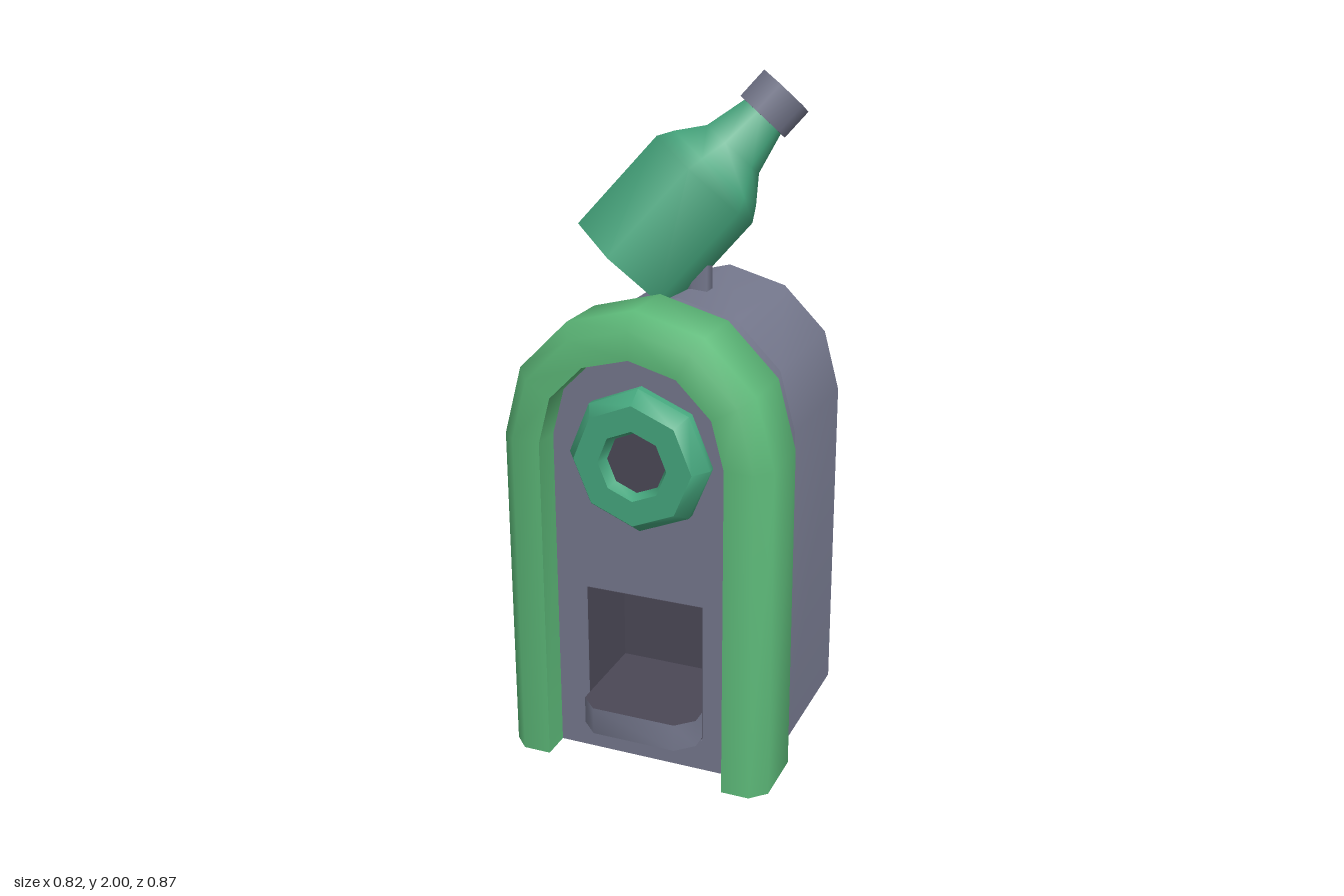
import * as THREE from 'three';
import { toCreasedNormals } from 'three/addons/utils/BufferGeometryUtils.js';

const ARCH_Y = 1.01; // centre height of the rounded top

function makeMaterial(name, color, side = THREE.FrontSide) {
  const m = new THREE.MeshStandardMaterial({ color, side });
  m.name = name;
  return m;
}

function polygon(points) {
  return new THREE.Shape(points.map(([x, y]) => new THREE.Vector2(x, y)));
}

function extrude(shape, depth, z = 0) {
  const g = new THREE.ExtrudeGeometry(shape, { depth, bevelEnabled: false });
  g.translate(0, 0, z);
  return toCreasedNormals(g, 1);
}

// Outline with straight sides and a six-segment round top
function archPoints(r) {
  const pts = [[r, 0]];
  for (let i = 0; i <= 6; i++) {
    const a = (i * Math.PI) / 6;
    pts.push([r * Math.cos(a), ARCH_Y + r * Math.sin(a)]);
  }
  pts.push([-r, 0]);
  return pts;
}

// Open strip swept over the arch; section is a list of [radius, z]
function archStrip(section) {
  const rings = section.map(([r]) => archPoints(r));
  const pos = [], index = [], n = rings[0].length;
  section.forEach(([, z], j) => rings[j].forEach(([x, y]) => pos.push(x, y, z)));
  for (let j = 0; j < section.length - 1; j++) {
    for (let i = 0; i < n - 1; i++) {
      const a = j * n + i, b = a + 1, c = a + n, d = c + 1;
      index.push(a, b, c, b, d, c);
    }
  }
  const g = new THREE.BufferGeometry();
  g.setAttribute('position', new THREE.Float32BufferAttribute(pos, 3));
  g.setIndex(index);
  return toCreasedNormals(g, 1.05);
}

function lathe(profile, sides) {
  return new THREE.LatheGeometry(profile.map(([r, y]) => new THREE.Vector2(r, y)), sides);
}

export function createModel() {
  const model = new THREE.Group();
  const metal = makeMaterial('slate metal', 0x74778c);
  const dark = makeMaterial('dark interior', 0x4b4856, THREE.DoubleSide);
  const green = makeMaterial('arch green', 0x5cb878, THREE.DoubleSide);
  const glass = makeMaterial('bottle green', 0x45a67d);

  const add = (name, geometry, material, parent = model) => {
    const mesh = new THREE.Mesh(geometry, material);
    mesh.name = name;
    parent.add(mesh);
    return mesh;
  };

  // Cabinet: solid rear, front section with the dispensing opening
  add('cabinetRear', extrude(polygon(archPoints(0.365)), 0.425, -0.345), metal);
  const front = polygon(archPoints(0.365));
  front.holes.push(polygon([[-0.185, 0.1], [-0.185, 0.54], [0.185, 0.54], [0.185, 0.1]]));
  add('cabinetFront', extrude(front, 0.265, 0.08), metal);

  // Dark lining of the opening, without its front face
  const lining = new THREE.BoxGeometry(0.366, 0.436, 0.26);
  const idx = Array.from(lining.index.array);
  lining.setIndex([...idx.slice(0, 24), ...idx.slice(30)]);
  lining.clearGroups();
  lining.translate(0, 0.32, 0.214);
  add('openingLining', lining, dark);

  // Tray with clipped front corners
  const tray = extrude(polygon([
    [-0.18, -0.09], [-0.18, -0.385], [-0.13, -0.434], [0.13, -0.434], [0.18, -0.385], [0.18, -0.09],
  ]), 0.085);
  tray.rotateX(-Math.PI / 2).translate(0, 0.103, 0);
  add('tray', tray, [dark, metal]);

  // Green arch around the front
  add('archFrame', archStrip([
    [0.365, 0.165], [0.41, 0.21], [0.41, 0.39], [0.365, 0.435], [0.28, 0.435], [0.28, 0.34],
  ]), green);

  // Round port
  const ring = lathe([[0.215, 0.34], [0.215, 0.37], [0.18, 0.42], [0.105, 0.42], [0.09, 0.385]], 8);
  ring.rotateX(Math.PI / 2);
  add('portRing', toCreasedNormals(ring, 0.9), glass).position.y = 0.975;
  const hole = new THREE.CircleGeometry(0.092, 8);
  add('portHole', hole, dark).position.set(0, 0.975, 0.386);

  // Rear panel with clipped corners
  const panel = polygon([
    [-0.195, 0.1], [0.195, 0.1], [0.275, 0.175], [0.275, 0.66],
    [0.195, 0.735], [-0.195, 0.735], [-0.275, 0.66], [-0.275, 0.175],
  ]);
  add('rearPanel', extrude(panel, 0.095, -0.435), metal);

  // Post under the bottle
  const post = new THREE.CylinderGeometry(0.045, 0.045, 0.16, 6);
  add('bottlePost', post, metal).position.set(0, 1.415, -0.072);

  // Tilted six-sided bottle
  const bottle = new THREE.Group();
  bottle.name = 'bottle';
  const axis = new THREE.Vector3(0.592, 0.731, -0.336).normalize();
  const up = new THREE.Vector3(0, 1, 0).addScaledVector(axis, -axis.y).normalize();
  const side = new THREE.Vector3().crossVectors(axis, up);
  bottle.quaternion.setFromRotationMatrix(new THREE.Matrix4().makeBasis(side, axis, up));
  bottle.position.set(-0.185, 1.44, 0.025);
  model.add(bottle);
  add('bottleGlass', lathe([[0.193, 0], [0.193, 0.34], [0.165, 0.385], [0.105, 0.46], [0.07, 0.6]], 6), glass, bottle);
  const base = new THREE.CircleGeometry(0.193, 6, Math.PI / 2);
  base.rotateX(Math.PI / 2);
  add('bottleBase', base, glass, bottle);
  const cap = new THREE.CylinderGeometry(0.09, 0.09, 0.1, 6);
  add('bottleCap', cap, metal, bottle).position.y = 0.635;

  return model;
}
